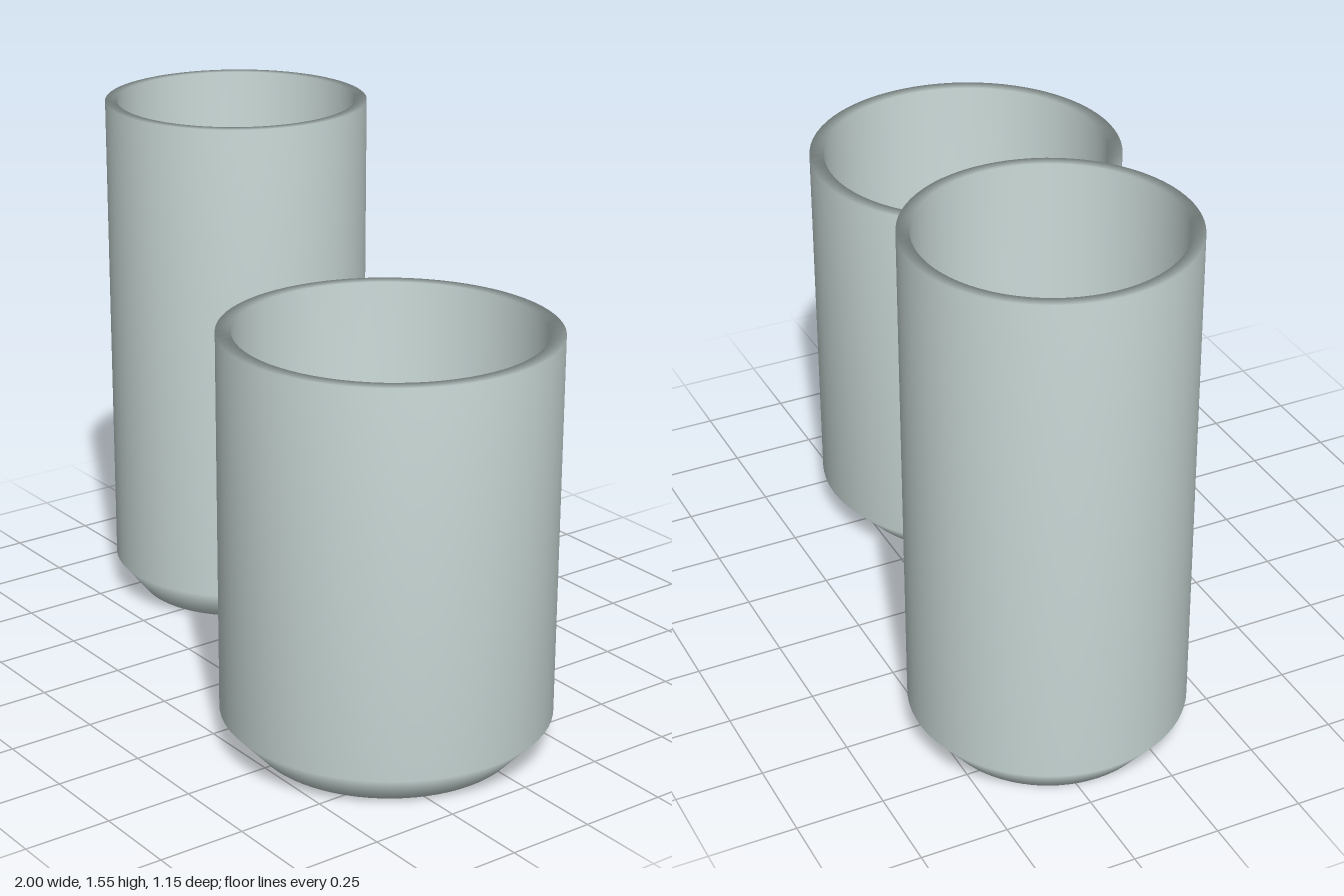
import * as THREE from 'three';

// Open cup: chamfered foot, straight wall, flat rim, hollow inside
function makeCup(name, material, { radius, foot, height, wall, x, z }) {
  const chamfer = 0.1;
  const profile = [
    [0, 0],
    [foot, 0],
    [radius, chamfer],
    [radius, height],
    [radius - wall, height],
    [radius - wall, chamfer + wall * 0.4],
    [foot - wall * 0.4, wall],
    [0, wall],
  ].map(([r, y]) => new THREE.Vector2(r, y));

  const cup = new THREE.Mesh(new THREE.LatheGeometry(profile, 72), material);
  cup.name = name;
  cup.position.set(x, 0, z);
  return cup;
}

export function createModel() {
  const group = new THREE.Group();
  group.name = 'cups';

  const glaze = new THREE.MeshStandardMaterial({ color: 0xcad9d7 });
  glaze.name = 'pale grey green';

  group.add(
    makeCup('tallCup', glaze, { radius: 0.39, foot: 0.31, height: 1.55, wall: 0.035, x: -0.61, z: -0.187 }),
    makeCup('shortCup', glaze, { radius: 0.463, foot: 0.37, height: 1.19, wall: 0.042, x: 0.537, z: 0.114 }),
  );
  return group;
}
